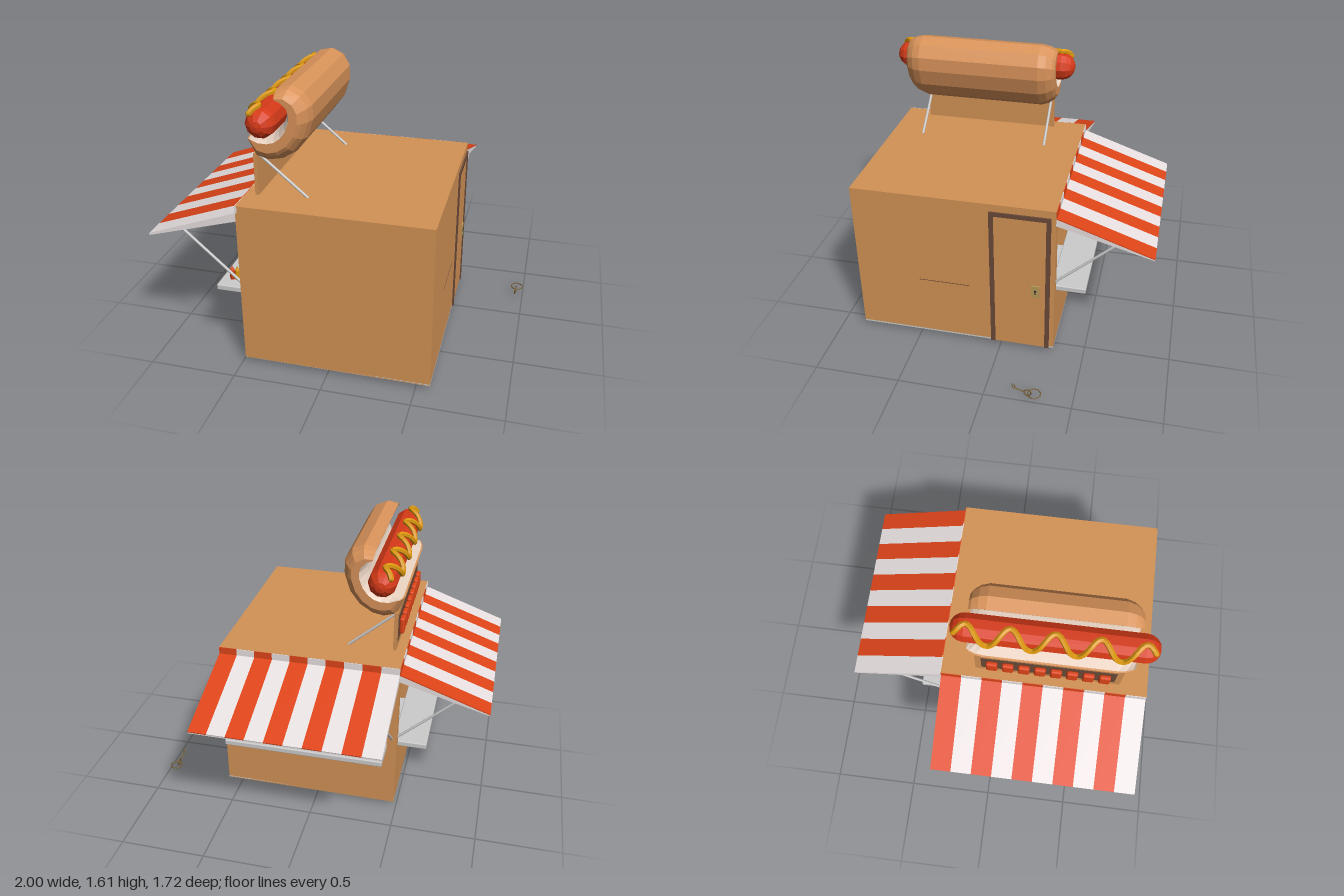
import * as THREE from 'three';
import { RoundedBoxGeometry } from 'three/addons/geometries/RoundedBoxGeometry.js';

const mat = (color, extra = {}) => new THREE.MeshStandardMaterial({ color, ...extra });
const WOOD = mat(0xd39255), DARK = mat(0x6b4a38), GREY = mat(0xcccccc), WHITE = mat(0xe9e1e2);
const RED = mat(0xdf4519), BRASS = mat(0xb99a58), IRON = mat(0x7a6238), BLACK = mat(0x222222);
const SAUSAGE = mat(0xd63a18, { flatShading: true }), MUSTARD = mat(0xd9960f, { flatShading: true });
const CRUST = mat(0xd9935a, { flatShading: true, side: THREE.DoubleSide });
const CRUMB = mat(0xe9d3c2, { flatShading: true, side: THREE.DoubleSide });

// Stand extents
const X0 = -0.485, X1 = 0.58, Z0 = -0.32, Z1 = 0.86, Y0 = 0.03, Y1 = 0.99, T = 0.03;

function add(parent, name, geometry, material, x = 0, y = 0, z = 0) {
  const mesh = new THREE.Mesh(geometry, material);
  mesh.name = name;
  mesh.position.set(x, y, z);
  parent.add(mesh);
  return mesh;
}

// Box given by its min and max corners
function block(parent, name, material, [ax, ay, az], [bx, by, bz]) {
  return add(parent, name, new THREE.BoxGeometry(bx - ax, by - ay, bz - az), material,
    (ax + bx) / 2, (ay + by) / 2, (az + bz) / 2);
}

// Thin round rod between two points
function rod(parent, name, material, a, b, r = 0.008) {
  const p = new THREE.Vector3(...a), q = new THREE.Vector3(...b);
  const mesh = add(parent, name, new THREE.CylinderGeometry(r, r, p.distanceTo(q), 8), material);
  mesh.position.copy(p).add(q).multiplyScalar(0.5);
  mesh.quaternion.setFromUnitVectors(new THREE.Vector3(0, 1, 0), q.sub(p).normalize());
  return mesh;
}

// Outward/height profile swept along local x
function sweep(points, width) {
  const shape = new THREE.Shape(points.map(p => new THREE.Vector2(...p)));
  return new THREE.ExtrudeGeometry(shape, { depth: width, bevelEnabled: false })
    .rotateY(-Math.PI / 2).translate(width, 0, 0);
}

// Serving side: wall lies on local z = 0, outside is +z
function servingSide(name, len, reach) {
  const g = new THREE.Group();
  g.name = name;
  const post = 0.058;
  const wall = new THREE.Shape([[0, Y0], [len, Y0], [len, 0.95], [0, 0.95]].map(p => new THREE.Vector2(...p)));
  wall.holes.push(new THREE.Path([[post, 0.44], [post, 0.87], [len - post, 0.87], [len - post, 0.44]]
    .map(p => new THREE.Vector2(...p))));
  add(g, 'windowWall', new THREE.ExtrudeGeometry(wall, { depth: T, bevelEnabled: false }), WOOD, 0, 0, -T);

  // Awning wedge with striped cloth and matching roof trim
  add(g, 'awningFrame', sweep([[0, 0.9], [reach, 0.752], [reach, 0.759], [0, 0.944]], len), WHITE);
  const n = 10, w = len / n;
  for (let i = 0; i < n; i++) {
    const color = i % 2 ? WHITE : RED;
    add(g, 'awningStripe', sweep([[0, 0.943], [reach, 0.758], [reach + 0.002, 0.764], [0, 0.95]], w), color, i * w);
    block(g, 'trimStripe', color, [i * w, 0.945, -0.01], [(i + 1) * w, Y1 - 0.001, 0.004]);
  }

  // Counter shelf and awning struts
  add(g, 'shelf', new RoundedBoxGeometry(len - 2 * post, 0.034, 0.2, 2, 0.006), GREY, len / 2, 0.435, 0.07);
  for (const x of [0.03, len - 0.03])
    rod(g, 'awningStrut', GREY, [x, 0.505, 0], [x, 0.805, 0.33]);
  return g;
}

// Quad surface through rows of [x, y, z] points
function surface(rows) {
  const n = rows[0].length, index = [];
  for (let r = 0; r < rows.length - 1; r++)
    for (let i = 0; i < n - 1; i++) {
      const a = r * n + i, b = a + n;
      index.push(a, a + 1, b, b, a + 1, b + 1);
    }
  const geo = new THREE.BufferGeometry();
  geo.setAttribute('position', new THREE.Float32BufferAttribute(rows.flat(2), 3));
  geo.setIndex(index);
  geo.computeVertexNormals();
  return geo;
}

// Open bun: crescent section, rounded off at both ends
function makeBun(parent) {
  const g = new THREE.Group();
  g.name = 'bun';
  const outer = [[-0.29, 1.59], [-0.22, 1.607], [-0.15, 1.575], [-0.11, 1.51], [-0.108, 1.43], [-0.14, 1.33],
    [-0.2, 1.25], [-0.28, 1.2], [-0.35, 1.187], [-0.42, 1.21], [-0.46, 1.315]];
  const inner = [[-0.285, 1.575], [-0.26, 1.545], [-0.24, 1.51], [-0.237, 1.48], [-0.243, 1.45], [-0.26, 1.41],
    [-0.285, 1.375], [-0.31, 1.353], [-0.345, 1.34], [-0.395, 1.332], [-0.45, 1.317]];
  const hub = [-0.26, 1.39];
  const section = (pts, k, z) => pts.map((p, i) => [0, 1].map(c => {
    const mid = (outer[i][c] + inner[i][c]) / 2;
    const v = p[c] + (mid - p[c]) * k;
    return v + (hub[c] - v) * k * 0.25;
  }).concat(z));
  const steps = [[-0.165, 0.6], [-0.15, 0.38], [-0.115, 0.13], [-0.07, 0], [0.65, 0], [0.695, 0.13], [0.73, 0.38], [0.745, 0.6]];
  add(g, 'bunCrust', surface(steps.map(([z, k]) => section(outer, k, z))), CRUST);
  add(g, 'bunCrumb', surface(steps.map(([z, k]) => section(inner, k, z))), CRUMB);
  for (const [z, k] of [steps[0], steps[steps.length - 1]])
    add(g, 'bunEnd', surface([section(outer, k, z), section(inner, k, z)]), CRUST);
  for (const i of [0, outer.length - 1])
    add(g, 'bunLip', surface([outer, inner].map(pts => steps.map(([z, k]) => section(pts, k, z)[i]))), CRUST);
  parent.add(g);
}

// Sausage with a wavy line of mustard
function makeSausage(parent) {
  const cx = -0.345, cy = 1.437, r = 0.082;
  add(parent, 'sausage', new THREE.CapsuleGeometry(r, 0.95, 4, 10).rotateX(Math.PI / 2), SAUSAGE, cx, cy, 0.297);
  const pts = [];
  for (let i = 0; i <= 54; i++) {
    const z = -0.23 + 1.05 * i / 54;
    const a = THREE.MathUtils.degToRad(136 - 40 * Math.cos((z + 0.17) / 0.235 * Math.PI * 2));
    const over = Math.max(0, Math.abs(z - 0.297) - 0.475);
    const d = Math.sqrt(r * r - over * over) + 0.008;
    pts.push(new THREE.Vector3(cx + Math.cos(a) * d, cy + Math.sin(a) * d, z));
  }
  add(parent, 'mustard', new THREE.TubeGeometry(new THREE.CatmullRomCurve3(pts), 110, 0.016, 6), MUSTARD);
  for (const p of [pts[0], pts[pts.length - 1]])
    add(parent, 'mustardEnd', new THREE.SphereGeometry(0.016, 6, 5), MUSTARD, p.x, p.y, p.z);
}

export function createModel() {
  const model = new THREE.Group();
  model.name = 'foodStand';

  // Hut shell
  block(model, 'floor', GREY, [X0, Y0, Z0], [X1, Y0 + 0.01, Z1]);
  block(model, 'roof', WOOD, [X0, 0.95, Z0], [X1, Y1, Z1]);
  block(model, 'frontWall', WOOD, [X0, Y0 + 0.001, Z1 - T], [X1, 0.95, Z1]);
  block(model, 'doorWall', WOOD, [X1 - T, Y0 + 0.001, Z0], [X1, 0.95, Z1]);
  block(model, 'wallSlot', DARK, [X1 - 0.002, 0.411, 0.18], [X1 + 0.001, 0.415, 0.485]);

  // Serving sides
  const back = servingSide('backServingSide', X1 - X0, 0.54);
  back.rotation.y = Math.PI;
  back.position.set(X1, 0, Z0);
  const right = servingSide('rightServingSide', Z1 - Z0, 0.515);
  right.rotation.y = -Math.PI / 2;
  right.position.set(X0, 0, Z0);
  model.add(back, right);

  // Door with frame and lock
  const door = new THREE.Group();
  door.name = 'door';
  block(door, 'doorPanel', WOOD, [X1, Y0, -0.27], [X1 + 0.003, 0.92, 0.032]);
  block(door, 'doorJamb', DARK, [X1 - 0.005, Y0, 0.03], [X1 + 0.009, 0.945, 0.056]);
  block(door, 'doorJamb', DARK, [X1 - 0.005, Y0, -0.294], [X1 + 0.009, 0.945, -0.268]);
  block(door, 'doorHeader', DARK, [X1 - 0.005, 0.919, -0.294], [X1 + 0.009, 0.945, 0.056]);
  block(door, 'lockPlate', BRASS, [X1, 0.4, -0.235], [X1 + 0.012, 0.48, -0.187]);
  add(door, 'keyhole', new THREE.CylinderGeometry(0.007, 0.007, 0.004, 10).rotateZ(Math.PI / 2), BLACK, X1 + 0.012, 0.445, -0.211);
  block(door, 'keyholeSlit', BLACK, [X1 + 0.01, 0.424, -0.214], [X1 + 0.014, 0.445, -0.208]);
  model.add(door);

  // Roof sign board with plain raised blocks and rear braces
  const sign = new THREE.Group();
  sign.name = 'roofSign';
  block(sign, 'signBoard', WOOD, [-0.43, Y1, -0.125], [-0.41, 1.23, 0.7]);
  block(sign, 'signPanel', DARK, [-0.433, 1.035, -0.09], [-0.428, 1.195, 0.665]);
  for (let i = 0; i < 8; i++)
    add(sign, 'signBlock', new RoundedBoxGeometry(0.03, 0.1, 0.065, 2, 0.012), RED, -0.446, 1.115, -0.028 + i * 0.09);
  for (const z of [-0.11, 0.665])
    rod(sign, 'signBrace', GREY, [-0.41, 1.215, z], [-0.145, 0.988, z]);
  model.add(sign);

  // Rooftop snack
  const snack = new THREE.Group();
  snack.name = 'rooftopSnack';
  makeBun(snack);
  makeSausage(snack);
  model.add(snack);

  // Sauce bottles on the right shelf
  const profile = [[0, 0], [0.014, 0], [0.014, 0.06], [0.011, 0.066], [0.005, 0.07], [0.002, 0.085], [0, 0.085]]
    .map(p => new THREE.Vector2(...p));
  [[-0.592, RED], [-0.56, MUSTARD]].forEach(([x, m]) =>
    add(model, 'sauceBottle', new THREE.LatheGeometry(profile, 12), m, x, 0.451, 0.72));

  // Key on a ring, beside the door
  const key = new THREE.Group();
  key.name = 'keyAndRing';
  add(key, 'ring', new THREE.TorusGeometry(0.036, 0.0035, 6, 24).rotateX(Math.PI / 2), IRON, 0.96, 0.026, -0.283);
  add(key, 'keyBow', new THREE.TorusGeometry(0.02, 0.004, 6, 18).rotateY(Math.PI / 2), IRON, 0.957, 0.024, -0.245);
  rod(key, 'keyShank', IRON, [0.957, 0.028, -0.226], [0.953, 0.045, -0.158], 0.004);
  for (const [y, z] of [[0.042, -0.16], [0.039, -0.174]])
    rod(key, 'keyTooth', IRON, [0.953, y, z], [0.953, y + 0.028, z + 0.006], 0.003);
  model.add(key);

  return model;
}
